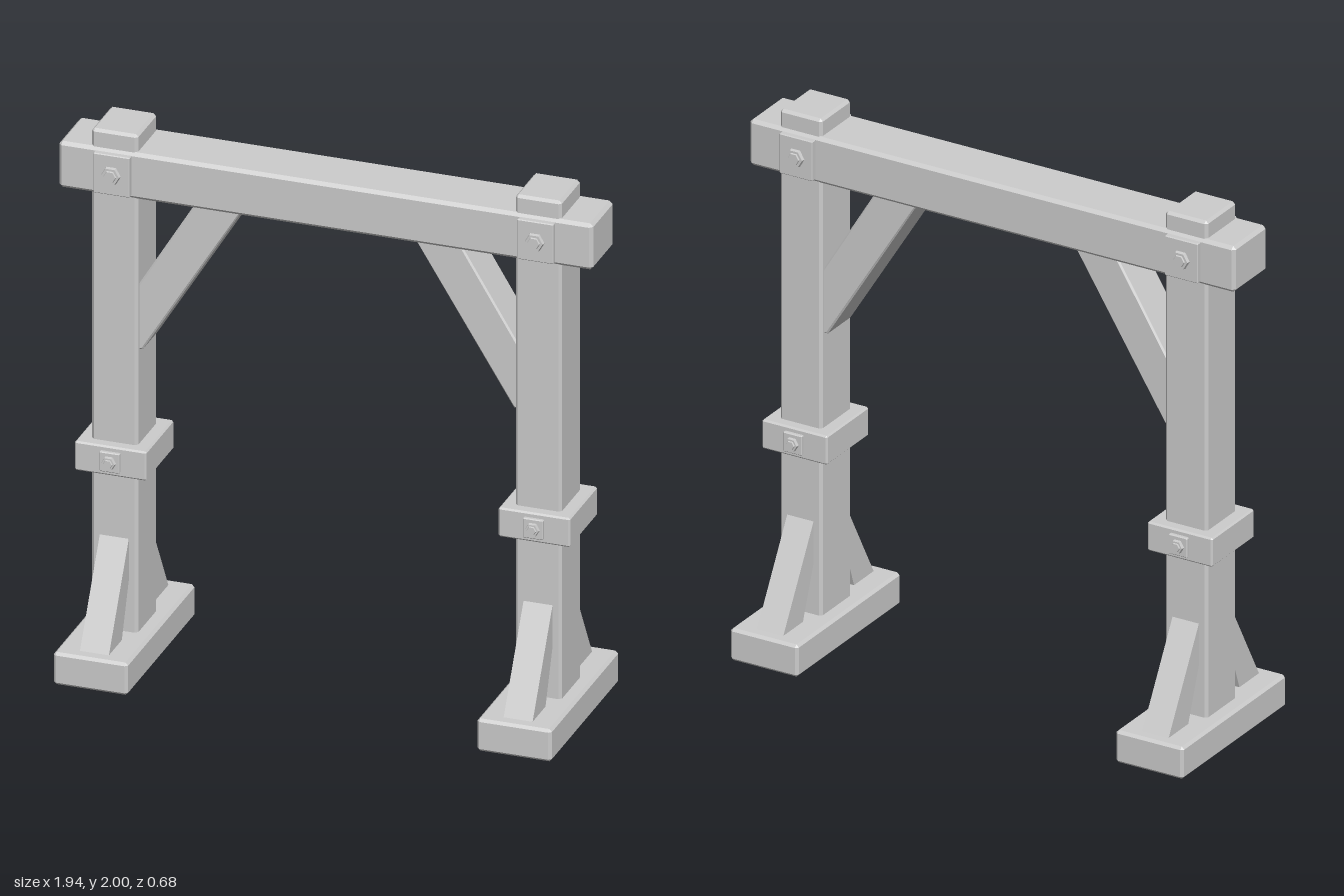
import * as THREE from 'three';
import { ConvexGeometry } from 'three/addons/geometries/ConvexGeometry.js';

const grey = new THREE.MeshStandardMaterial({ color: 0xcccccc });
grey.name = 'plain grey';

function add(parent, name, geometry, x = 0, y = 0, z = 0) {
  const mesh = new THREE.Mesh(geometry, grey);
  mesh.name = name;
  mesh.position.set(x, y, z);
  parent.add(mesh);
  return mesh;
}

// Box with chamfered edges
function timber(w, h, d, c = 0.01) {
  const points = [];
  const [x, y, z] = [w / 2, h / 2, d / 2];
  for (const i of [-1, 1]) for (const j of [-1, 1]) for (const k of [-1, 1]) {
    points.push(
      new THREE.Vector3(i * x, j * (y - c), k * (z - c)),
      new THREE.Vector3(i * (x - c), j * y, k * (z - c)),
      new THREE.Vector3(i * (x - c), j * (y - c), k * z));
  }
  return new ConvexGeometry(points);
}

// Side profile given thickness, centred on its own z
function slab(profile, depth, bevel = 0) {
  const shape = new THREE.Shape(profile.map(([x, y]) => new THREE.Vector2(x, y)));
  const geometry = new THREE.ExtrudeGeometry(shape, {
    depth: depth - 2 * bevel, bevelEnabled: bevel > 0, bevelSegments: 1,
    bevelSize: bevel, bevelThickness: bevel, bevelOffset: -bevel });
  return geometry.translate(0, 0, bevel - depth / 2);
}

// Six-sided bolt head pointing along +z
function hexagon(r0, r1, depth) {
  const g = new THREE.CylinderGeometry(r1, r0, depth, 6).rotateY(Math.PI / 6).rotateX(Math.PI / 2);
  const flat = g.toNonIndexed();
  flat.computeVertexNormals();
  return flat;
}

// Square plate with a bolt through it, back face at z = 0
function boltPlate(name, w, h, thick, r) {
  const group = new THREE.Group();
  group.name = name;
  add(group, 'plate', timber(w, h, thick, 0.003), 0, 0, thick / 2);
  add(group, 'boltHead', hexagon(r, r * 0.92, 0.012), 0, 0, thick + 0.006);
  add(group, 'boltTip', hexagon(r * 0.68, r * 0.6, 0.006), 0, 0, thick + 0.014);
  return group;
}

// One upright with foot, collar, struts, bolts and brace; built for the left
function buildSide() {
  const side = new THREE.Group();
  const px = 0.768;
  add(side, 'foot', timber(0.27, 0.122, 0.68), px, 0.061, 0);
  add(side, 'post', timber(0.168, 1.9, 0.196), px, 1.05, 0);
  add(side, 'collar', timber(0.26, 0.11, 0.276, 0.006), px, 0.775, 0);

  // Diagonal brace under the beam
  add(side, 'brace', slab([
    [0.673, 1.185], [0.70, 1.185], [0.70, 1.409], [0.468, 1.79], [0.298, 1.79]
  ], 0.16, 0.006));

  // Struts and bolted plates on the front and back
  for (const turn of [0, Math.PI]) {
    const face = new THREE.Group();
    face.name = turn ? 'backFittings' : 'frontFittings';
    face.position.x = px;
    face.rotation.y = turn;
    const strut = slab([[0.17, 0.115], [0.30, 0.115], [0.09, 0.487], [0.09, 0.337]], 0.105);
    add(face, 'footStrut', strut.rotateY(-Math.PI / 2));
    const top = boltPlate('beamPlate', 0.132, 0.15, 0.024, 0.035);
    top.position.set(0, 1.85, 0.105);
    const low = boltPlate('collarPlate', 0.074, 0.074, 0.016, 0.026);
    low.position.set(0, 0.775, 0.135);
    face.add(top, low);
    side.add(face);
  }
  return side;
}

export function createModel() {
  const model = new THREE.Group();
  model.name = 'timberFrame';
  add(model, 'crossBeam', timber(1.936, 0.174, 0.216, 0.012), 0, 1.849, 0);
  const left = buildSide();
  left.name = 'leftSide';
  const right = buildSide();
  right.name = 'rightSide';
  right.rotation.y = Math.PI;
  model.add(left, right);
  return model;
}
